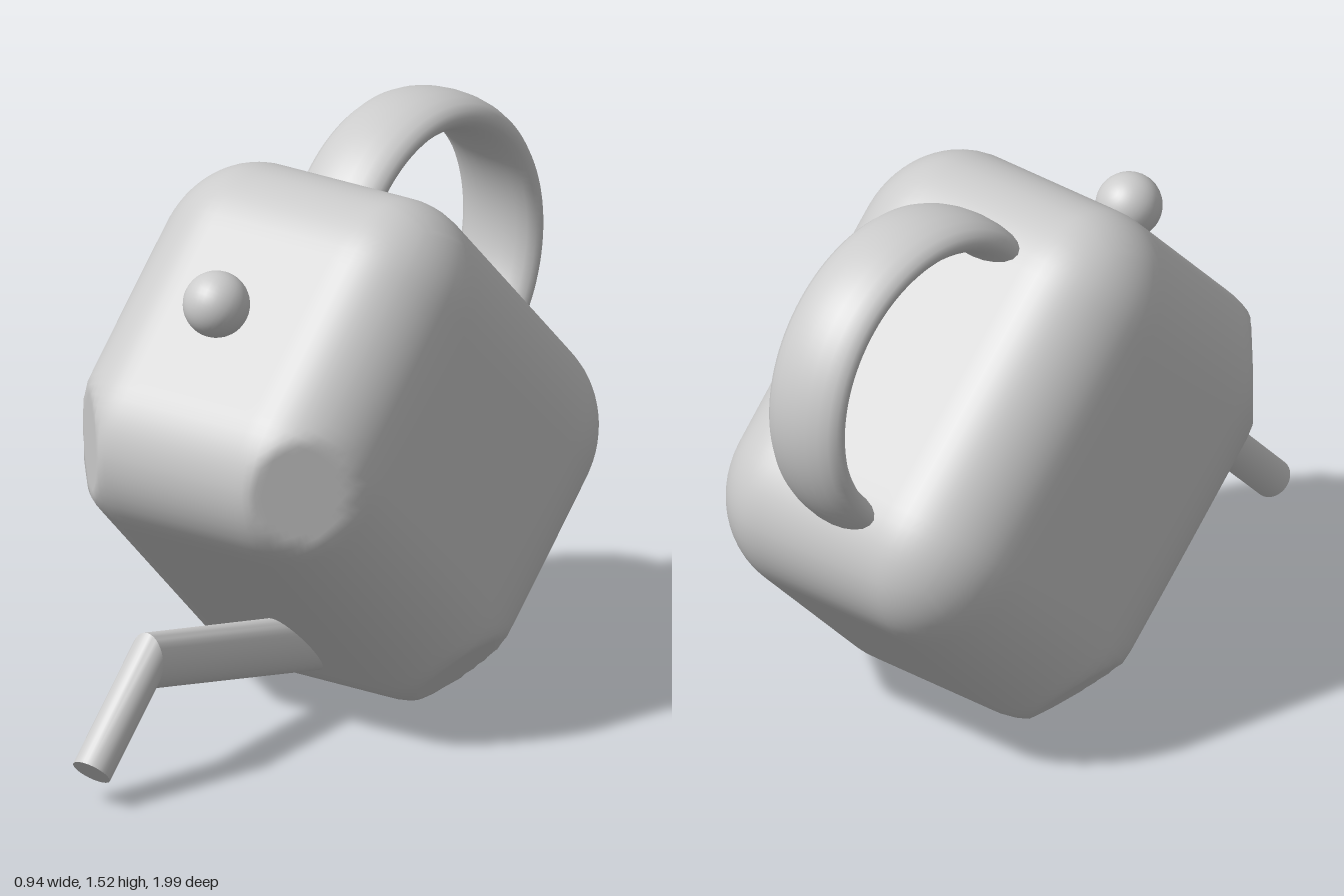
import * as THREE from 'three';
import { mergeVertices, toCreasedNormals } from 'three/addons/utils/BufferGeometryUtils.js';

const material = new THREE.MeshStandardMaterial({ color: 0xcccccc });

function part(name, geometry, parent, x = 0, y = 0, z = 0) {
  const mesh = new THREE.Mesh(geometry, material);
  mesh.name = name;
  mesh.position.set(x, y, z);
  parent.add(mesh);
  return mesh;
}

// Soft box with bulging sides; the four corners of the base are cut flat
function bodyGeometry() {
  const half = new THREE.Vector3(0.455, 0.53, 0.63);
  const radius = new THREE.Vector3(0.24, 0.28, 0.28);
  const inner = half.clone().sub(radius);
  const box = new THREE.BoxGeometry(half.x * 2, half.y * 2, half.z * 2, 32, 32, 32);
  box.deleteAttribute('uv');
  box.deleteAttribute('normal');
  const geo = mergeVertices(box);
  const pos = geo.attributes.position;
  const p = new THREE.Vector3(), core = new THREE.Vector3();
  for (let i = 0; i < pos.count; i++) {
    p.fromBufferAttribute(pos, i);
    core.copy(p).clamp(inner.clone().negate(), inner);
    p.sub(core).divide(radius).normalize().multiply(radius).add(core);
    p.x *= 1 + 0.03 * (1 - (p.y / half.y) ** 2) * (1 - (p.z / half.z) ** 2);
    if (p.y < 0) {
      const cut = new THREE.Vector3(Math.sign(p.x), -Math.SQRT1_2, Math.sign(p.z) * Math.SQRT1_2);
      const excess = p.dot(cut) - 0.95;
      if (excess > 0) p.addScaledVector(cut, -excess / cut.lengthSq());
    }
    pos.setXYZ(i, p.x, p.y, p.z);
  }
  geo.computeVertexNormals();
  return geo;
}

// Straight pipe between two elliptical rings; each ring has a centre (y, z),
// a half height and a lean of its plane from the vertical
function pipeGeometry(from, to) {
  const geo = new THREE.CylinderGeometry(1, 1, 2, 32, 1);
  const pos = geo.attributes.position;
  for (let i = 0; i < pos.count; i++) {
    const ring = pos.getY(i) > 0 ? to : from;
    const h = -pos.getZ(i) * ring.half;
    pos.setXYZ(i, pos.getX(i) * 0.053,
      ring.y + h * Math.cos(ring.lean), ring.z + h * Math.sin(ring.lean));
  }
  return toCreasedNormals(geo, 0.6);
}

export function createModel() {
  const model = new THREE.Group();
  model.name = 'wateringCan';

  // Tilted vessel with its handle and knob
  const vessel = new THREE.Group();
  vessel.name = 'vessel';
  vessel.position.set(0, 0.7, -0.155);
  vessel.rotation.x = -Math.PI / 4;
  model.add(vessel);
  part('body', bodyGeometry(), vessel);
  part('knob', new THREE.SphereGeometry(0.088, 32, 20), vessel, -0.02, 0, 0.693);

  // Broad band handle, its ends sunk into the body
  const handle = new THREE.TorusGeometry(0.396, 0.053, 20, 64, Math.PI + 0.6);
  handle.rotateZ(-0.3);
  handle.rotateY(Math.PI / 2);
  handle.scale(0.125 / 0.053, 1, 1);
  part('handle', handle, vessel, -0.045, 0.53, -0.014);

  // Bent spout with a mitred joint
  const root = { y: 0.15, z: -0.1, half: 0.078, lean: 0 };
  const bend = { y: 0.328, z: 0.722, half: 0.077, lean: 0 };
  const tip = { y: 0.088, z: 0.962, half: 0.053, lean: Math.PI / 4 };
  part('spoutArm', pipeGeometry(root, bend), model, 0.047);
  part('spoutTip', pipeGeometry(bend, tip), model, 0.047);
  return model;
}
